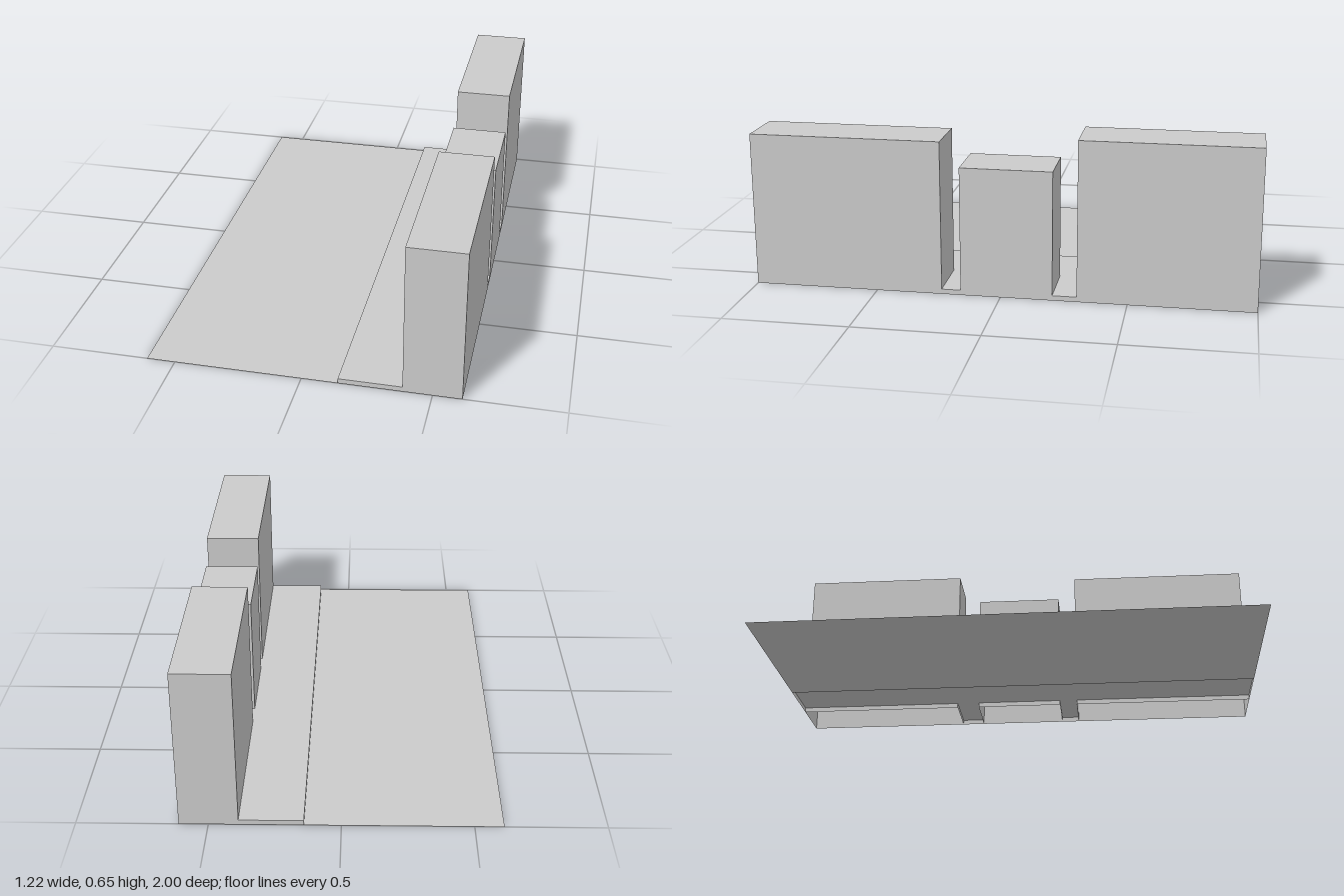
import * as THREE from 'three';

const material = new THREE.MeshStandardMaterial({ color: 0xcccccc, flatShading: true, side: THREE.DoubleSide });

// Box faces in the order BoxGeometry stores them
const FACES = ['right', 'left', 'top', 'bottom', 'front', 'back'];

// Box shell between two limits per axis, leaving out the named faces
function shell(name, [x0, x1], [y0, y1], [z0, z1], open) {
  const geometry = new THREE.BoxGeometry(x1 - x0, y1 - y0, z1 - z0);
  const all = Array.from(geometry.index.array);
  geometry.setIndex(all.filter((_, i) => !open.includes(FACES[Math.floor(i / 6)])));
  geometry.clearGroups();
  geometry.translate((x0 + x1) / 2, (y0 + y1) / 2, (z0 + z1) / 2);
  const mesh = new THREE.Mesh(geometry, material);
  mesh.name = name;
  return mesh;
}

export function createModel() {
  const group = new THREE.Group();
  group.name = 'streetBlock';

  const edge = 0.612, kerb = 0.141, facade = 0.387, kerbHeight = 0.02;

  // Flat road sheet
  const roadGeometry = new THREE.PlaneGeometry(edge + kerb, 2);
  roadGeometry.rotateX(-Math.PI / 2).translate((kerb - edge) / 2, 0, 0);
  const road = new THREE.Mesh(roadGeometry, material);
  road.name = 'road';
  group.add(road);

  // Raised pavement along the buildings, hollow underneath
  group.add(shell('pavement', [kerb, facade], [0, kerbHeight], [-1, 1], ['bottom', 'right']));

  // Buildings, open at the base, with pavement continuing through the alleys
  const buildings = [
    { z: [-1, -0.302], height: 0.65 },
    { z: [-0.206, 0.16], height: 0.522 },
    { z: [0.236, 1], height: 0.622 },
  ];
  buildings.forEach(({ z, height }, i) => {
    group.add(shell(`building${i + 1}`, [facade, edge], [0, height], z, ['bottom']));
    const next = buildings[i + 1];
    if (next) {
      group.add(shell(`alley${i + 1}`, [facade, edge], [0, kerbHeight], [z[1], next.z[0]],
        ['bottom', 'left', 'front', 'back']));
    }
  });

  return group;
}
